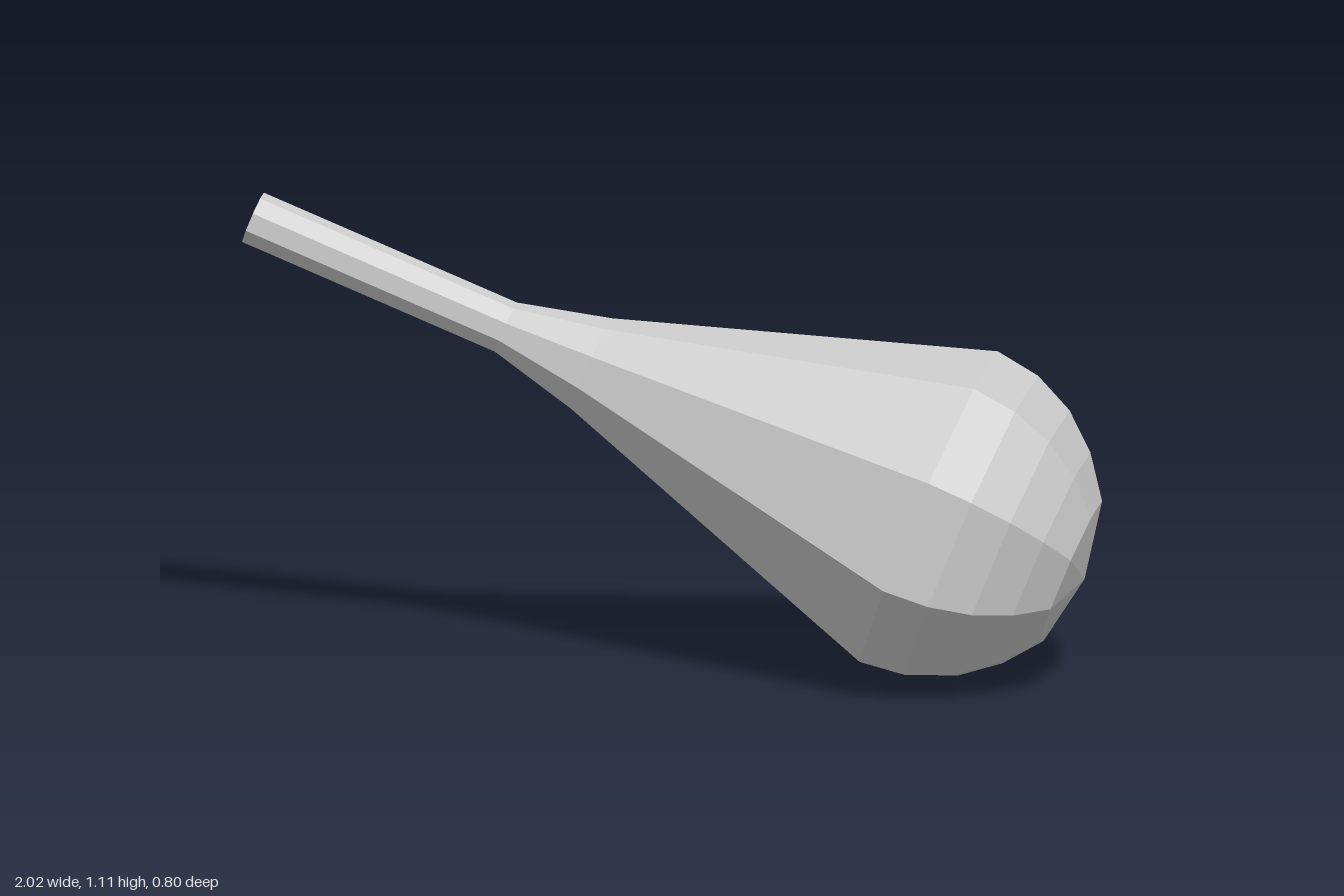
import * as THREE from 'three';

export function createModel() {
  const group = new THREE.Group();
  const material = new THREE.MeshStandardMaterial({ color: 0xcccccc, flatShading: true });

  // Profile as [radius, distance along the axis]: grip, flaring neck, rounded head
  const profile = [
    [0, 0], [0.065, 0], [0.065, 0.65], [0.12, 0.87],
    [0.41, 1.735], [0.395, 1.845], [0.35, 1.945], [0.278, 2.03], [0.185, 2.1], [0, 2.135],
  ].map(([r, t]) => new THREE.Vector2(r, t));
  const phase = THREE.MathUtils.degToRad(-14.5);
  const club = new THREE.Mesh(new THREE.LatheGeometry(profile, 9, phase), material);
  club.name = 'club';

  // Tilted axis, running from the grip end to the tip of the head
  const axis = new THREE.Vector3(0.911, -0.371, -0.178).normalize();
  const up = new THREE.Vector3(0, 1, 0).addScaledVector(axis, -axis.y).normalize();
  const side = new THREE.Vector3().crossVectors(axis, up);
  club.quaternion.setFromRotationMatrix(new THREE.Matrix4().makeBasis(side, axis, up));
  club.position.set(-0.975, 1.045, 0.31);
  group.add(club);

  // Centre on x and z, and rest on the ground
  group.updateMatrixWorld(true);
  const box = new THREE.Box3().setFromObject(group, true);
  club.position.x -= (box.min.x + box.max.x) / 2;
  club.position.z -= (box.min.z + box.max.z) / 2;
  club.position.y -= box.min.y;
  return group;
}
